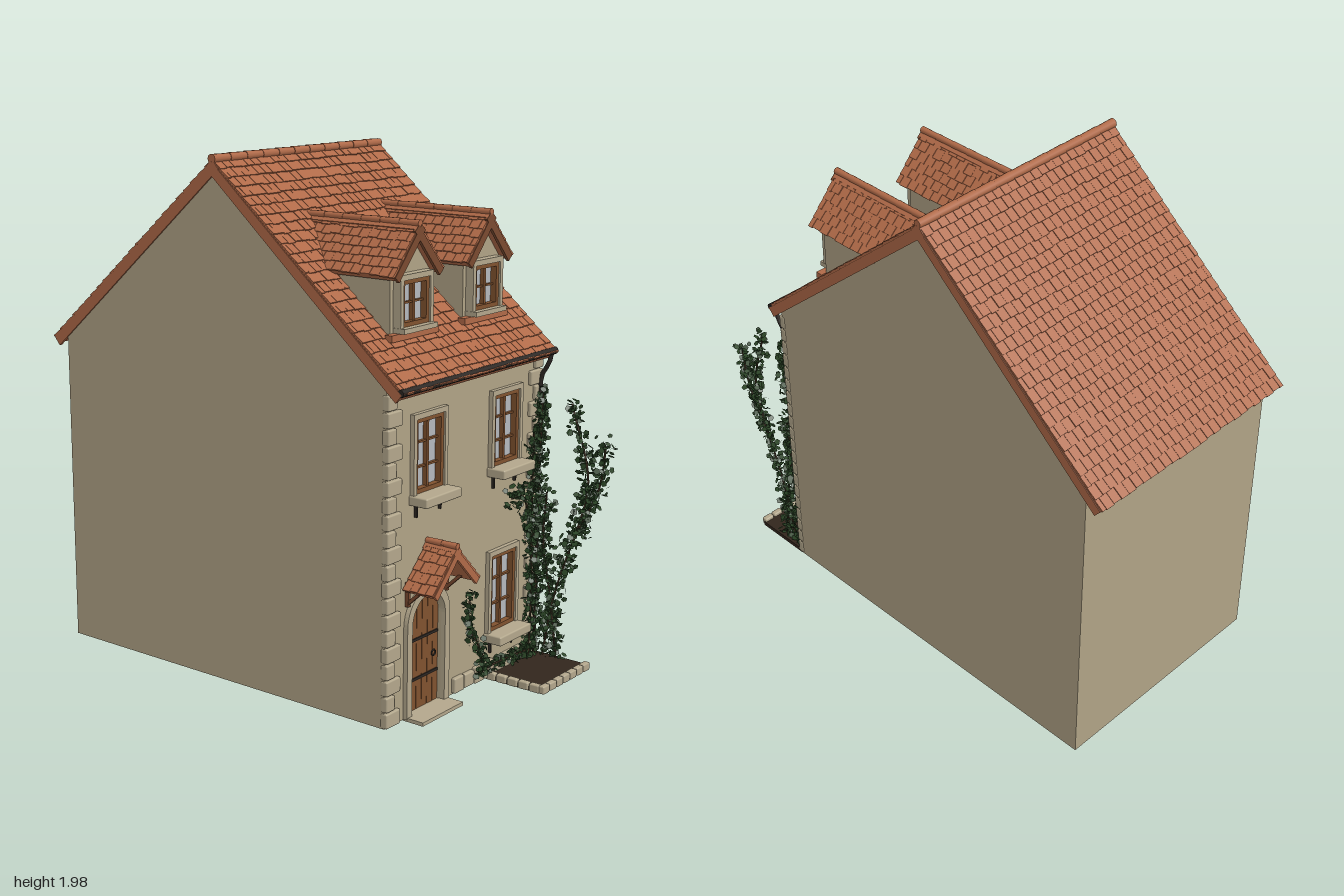
import * as THREE from 'three';
import { mergeGeometries } from 'three/addons/utils/BufferGeometryUtils.js';
import { RoundedBoxGeometry } from 'three/addons/geometries/RoundedBoxGeometry.js';

const mat = (color, side = THREE.FrontSide) => new THREE.MeshStandardMaterial({ color, side });
const M = {
  wall: mat(0xb0a386), stone: mat(0xb3a78c), roof: mat(0xb06a48), board: mat(0x7a4a30),
  wood: mat(0x80522f), iron: mat(0x2b2622), glass: mat(0xb4b8bd), soil: mat(0x32261c),
  inner: mat(0x806a55), leaf: mat(0x2b4526, THREE.DoubleSide), stem: mat(0x3d2f20)
};
let seed = 7;
const rnd = () => (seed = (seed * 16807) % 2147483647) / 2147483647;

function add(parent, name, geo, material, x = 0, y = 0, z = 0) {
  const m = new THREE.Mesh(geo, material);
  m.name = name;
  m.position.set(x, y, z);
  parent.add(m);
  return m;
}
const box = (p, name, m, w, h, d, x, y, z) => add(p, name, new THREE.BoxGeometry(w, h, d), m, x, y, z);
function group(parent, name, x = 0, y = 0, z = 0) {
  const g = new THREE.Group();
  g.name = name;
  g.position.set(x, y, z);
  parent.add(g);
  return g;
}
const extrude = (shape, depth) => new THREE.ExtrudeGeometry(shape, { depth, bevelEnabled: false, curveSegments: 14 });
const poly = pts => new THREE.Shape(pts.map(p => new THREE.Vector2(...p)));
const rect = (x0, y0, x1, y1) => poly([[x0, y0], [x1, y0], [x1, y1], [x0, y1]]);

// Round-headed outline standing on y0 with its spring line at ys
function arch(cx, r, y0, ys) {
  const s = new THREE.Shape();
  s.moveTo(cx - r, y0);
  s.lineTo(cx + r, y0);
  s.lineTo(cx + r, ys);
  s.absarc(cx, ys, r, 0, Math.PI, false);
  s.closePath();
  return s;
}

// Pitched roof: two tiled slopes, bargeboards and a row of ridge tiles along local x
function pitchedRoof(parent, name, o) {
  const g = group(parent, name, ...o.at);
  g.rotation.y = o.turn || 0;
  const L = Math.hypot(o.run, o.drop), angle = Math.atan2(o.drop, o.run), tiles = [];
  const tw = o.width / o.cols, rl = L / o.rows;
  for (let r = 0; r < o.rows; r++) {
    for (let c = 0; c <= o.cols; c++) {
      const start = -o.width / 2 + (c - (r % 2) / 2) * tw;
      const x0 = Math.max(start, -o.width / 2), x1 = Math.min(start + tw, o.width / 2);
      if (x1 - x0 < tw * 0.2) continue;
      const t = new THREE.BoxGeometry((x1 - x0) * 0.95, 0.007, rl * 1.2);
      t.rotateX(-0.09);
      t.translate((x0 + x1) / 2, -0.006 + rnd() * 0.002, (r + 0.5) * rl + (rnd() - 0.5) * 0.006);
      tiles.push(t);
    }
  }
  const tileGeo = mergeGeometries(tiles);
  for (const side of [0, Math.PI]) {
    const half = group(g, 'roofSide');
    half.rotation.y = side;
    const slope = group(half, 'slope');
    slope.rotation.x = angle;
    add(slope, 'tiles', tileGeo, M.roof);
    box(slope, 'roofSlab', M.roof, o.width, o.thick, L, 0, -0.007 - o.thick / 2, L / 2);
    for (const e of [-1, 1])
      box(slope, 'bargeboard', o.edge, 0.012, o.thick * 1.3, L, e * (o.width / 2 - 0.003), -0.01 - o.thick * 0.65, L / 2);
  }
  const n = Math.max(2, Math.round(o.width / 0.09)), len = o.width / n;
  for (let i = 0; i < n; i++) {
    const c = new THREE.CylinderGeometry(o.ridge, o.ridge * 0.88, len * 1.06, 10);
    c.rotateZ(Math.PI / 2);
    add(g, 'ridgeTile', c, M.roof, -o.width / 2 + (i + 0.5) * len, -0.003, 0);
  }
  return g;
}

// Casement window centred on its opening, with stone surround and optional sill
function makeWindow(parent, name, w, h, x, y, z, sill) {
  const g = group(parent, name, x, y, z);
  box(g, 'glass', M.glass, w, h, 0.006, 0, 0, -0.018);
  for (const s of [-1, 1]) {
    box(g, 'frameSide', M.wood, 0.016, h, 0.03, s * (w / 2 - 0.008), 0, -0.005);
    box(g, 'frameRail', M.wood, w, 0.016, 0.03, 0, s * (h / 2 - 0.008), -0.005);
    box(g, 'jamb', M.stone, 0.018, h, 0.035, s * (w / 2 + 0.009), 0, 0);
  }
  box(g, 'mullion', M.wood, 0.012, h, 0.02, 0, 0, -0.008);
  for (const s of sill ? [-1, 1] : [0]) box(g, 'glazingBar', M.wood, w, 0.007, 0.014, 0, s * h / 6, -0.01);
  box(g, 'lintel', M.stone, w + 0.036, 0.02, 0.035, 0, h / 2 + 0.01, 0);
  if (!sill) return box(g, 'ledge', M.stone, w + 0.04, 0.018, 0.05, 0, -h / 2 - 0.009, 0.01);
  add(g, 'sill', new RoundedBoxGeometry(w + 0.045, 0.036, 0.085, 2, 0.006), M.stone, 0, -h / 2 - 0.018, 0.035);
  for (const s of [-1, 1]) box(g, 'sillBracket', M.iron, 0.006, 0.05, 0.012, s * w * 0.43, -h / 2 - 0.06, 0.006);
}

// Climbing plant: curved stems with small leaves scattered round them
function ivy(parent, name, stems, density, spread) {
  const g = group(parent, name), leaves = [];
  for (const pts of stems) {
    const curve = new THREE.CatmullRomCurve3(pts.map(p => new THREE.Vector3(...p)));
    add(g, 'stem', new THREE.TubeGeometry(curve, 16, 0.004, 5), M.stem);
    const n = Math.round(curve.getLength() * density);
    for (let i = 0; i < n; i++) {
      const p = curve.getPoint(rnd());
      const leaf = new THREE.CircleGeometry(0.009 + rnd() * 0.006, 5);
      leaf.rotateX((rnd() - 0.5) * 2.4);
      leaf.rotateY(rnd() * Math.PI);
      const a = rnd() * 6.283, d = Math.sqrt(rnd());
      leaf.translate(p.x + Math.cos(a) * d * spread[0], Math.max(0.015, p.y + Math.sin(a) * d * spread[1]),
        p.z + (rnd() * 2 - 1) * d * spread[2]);
      leaves.push(leaf);
    }
  }
  add(g, 'leaves', mergeGeometries(leaves), M.leaf);
}

export function createModel() {
  const house = new THREE.Group();
  house.name = 'house';
  const X = 0.485, F = 0.64, B = -0.92, T = 0.05, top = 1.24, doorX = -0.243;
  const windows = [[-0.243, 0.967, 0.27], [0.243, 0.967, 0.27], [0.243, 0.335, 0.3]], winW = 0.168;

  // Walls: front with openings, plain back and sides, solid gable block
  const front = rect(-X, 0.005, X, top);
  front.holes.push(arch(doorX, 0.1, 0.012, 0.35));
  for (const [x, y, h] of windows) front.holes.push(rect(x - winW / 2, y - h / 2, x + winW / 2, y + h / 2));
  add(house, 'frontWall', extrude(front, T), M.wall, 0, 0, F - T);
  box(house, 'backWall', M.wall, 2 * X, top - 0.005, T, 0, (top + 0.005) / 2, B + T / 2);
  for (const s of [-1, 1])
    box(house, 'sideWall', M.wall, T, top - 0.005, F - B - 2 * T, s * (X - T / 2), (top + 0.005) / 2, (F + B) / 2);
  const gable = extrude(poly([[-F, top], [-B, top], [0.14, 1.925]]), 2 * X);
  gable.rotateY(Math.PI / 2);
  add(house, 'gables', gable, M.wall, -X, 0, 0);
  box(house, 'partition', M.inner, 2 * X - 2 * T, top, 0.02, 0, top / 2 + 0.005, 0.12);
  box(house, 'floor', M.soil, 2 * X - 2 * T, 0.012, 0.48, 0, 0.014, 0.36);

  // Main roof, gutter and downpipe
  pitchedRoof(house, 'mainRoof', { at: [0, 1.968, -0.14], width: 0.976, run: 0.855, drop: 0.738,
    rows: 24, cols: 26, thick: 0.03, ridge: 0.018, edge: M.roof });
  const gutter = new THREE.CylinderGeometry(0.014, 0.014, 0.98, 10);
  gutter.rotateZ(Math.PI / 2);
  add(house, 'gutter', gutter, M.iron, 0, 1.228, 0.702);
  const pipe = new THREE.CatmullRomCurve3([[0.7, 1.22], [0.69, 1.18], [0.66, 1.13], [0.655, 1.05], [0.655, 0.5], [0.655, 0.02]]
    .map(([z, y]) => new THREE.Vector3(0.468, y, z)));
  add(house, 'downpipe', new THREE.TubeGeometry(pipe, 40, 0.009, 8), M.iron);

  // Corner stones and base course
  for (const s of [-1, 1]) for (let i = 0; i < 20; i++) {
    const w = i % 2 ? 0.05 : 0.082, h = 0.056;
    add(house, 'cornerStone', new RoundedBoxGeometry(w, h, 0.03, 1, 0.006), M.stone, s * (X + 0.003 - w / 2), 0.036 + i * 0.0605, F);
  }
  for (let x = -0.07; x < 0.4; x += 0.067)
    add(house, 'baseStone', new RoundedBoxGeometry(0.062, 0.05 + rnd() * 0.016, 0.03, 1, 0.006), M.stone, x + 0.03, 0.04, F + 0.002);

  for (const [x, y, h] of windows) makeWindow(house, 'window', winW, h, x, y, F, true);

  // Door: planks cut to the arch, straps, surround, keystone and step
  const door = group(house, 'door', doorX, 0, F);
  for (let i = 0; i < 6; i++) {
    const x = -0.0825 + i * 0.033, h = 0.335 + Math.sqrt(0.01 - x * x);
    box(door, 'plank', M.wood, 0.031, h, 0.016, x, 0.012 + h / 2, -0.022);
  }
  add(door, 'doorBack', extrude(arch(0, 0.1, 0.012, 0.35), 0.008), M.board, 0, 0, -0.036);
  for (const y of [0.13, 0.28]) box(door, 'strap', M.iron, 0.185, 0.01, 0.006, 0, y, -0.012);
  add(door, 'ringHandle', new THREE.TorusGeometry(0.011, 0.003, 6, 12), M.iron, 0.068, 0.2, -0.01);
  const surround = arch(0, 0.13, 0.008, 0.35);
  surround.holes.push(arch(0, 0.1, 0.012, 0.35));
  add(door, 'doorSurround', extrude(surround, 0.03), M.stone, 0, 0, -0.012);
  box(door, 'keystone', M.stone, 0.032, 0.045, 0.04, 0, 0.472, 0.008);
  box(door, 'doorStep', M.stone, 0.25, 0.014, 0.09, 0, 0.007, 0.04);

  // Canopy over the door
  pitchedRoof(house, 'canopy', { at: [doorX, 0.65, 0.71], turn: Math.PI / 2, width: 0.13, run: 0.145, drop: 0.145,
    rows: 5, cols: 4, thick: 0.02, ridge: 0.013, edge: M.roof });
  add(house, 'canopyGable', extrude(poly([[-0.11, 0.51], [0.11, 0.51], [0, 0.62]]), 0.02), M.wood, doorX, 0, F);
  for (const s of [-1, 1]) {
    box(house, 'canopyPost', M.board, 0.014, 0.09, 0.014, doorX + s * 0.118, 0.475, F + 0.008);
    box(house, 'canopyBeam', M.board, 0.014, 0.014, 0.12, doorX + s * 0.118, 0.513, F + 0.06);
    box(house, 'canopyBrace', M.board, 0.012, 0.012, 0.11, doorX + s * 0.118, 0.475, F + 0.045).rotation.x = -0.75;
  }

  // Dormers
  for (const s of [-1, 1]) {
    const d = group(house, 'dormer', s * 0.22, 0, 0);
    add(d, 'dormerWalls', extrude(poly([[-0.115, 1.37], [0.115, 1.37], [0.115, 1.6], [0, 1.735], [-0.115, 1.6]]), 0.46), M.wall, 0, 0, 0.08);
    makeWindow(d, 'dormerWindow', 0.158, 0.165, 0, 1.492, 0.556, false);
    box(d, 'apron', M.roof, 0.28, 0.025, 0.03, 0, 1.378, 0.553);
    pitchedRoof(d, 'dormerRoof', { at: [0, 1.768, 0.33], turn: Math.PI / 2, width: 0.5, run: 0.15, drop: 0.168,
      rows: 6, cols: 12, thick: 0.024, ridge: 0.014, edge: M.board });
  }

  // Flower bed with stone edging
  box(house, 'soil', M.soil, 0.33, 0.018, 0.25, 0.318, 0.009, 0.765);
  for (let i = 0; i < 7; i++)
    add(house, 'edgingStone', new RoundedBoxGeometry(0.044, 0.032, 0.026, 1, 0.006), M.stone, 0.17 + i * 0.048, 0.016, 0.892);
  for (let i = 0; i < 5; i++)
    add(house, 'edgingStone', new RoundedBoxGeometry(0.026, 0.032, 0.044, 1, 0.006), M.stone, 0.158, 0.016, 0.665 + i * 0.049);

  // Climbing plants: on the front wall, beside the door, and out along the bed
  const onWall = pts => pts.map(([x, y]) => [x, y, 0.668]);
  const outward = pts => pts.map(([z, y]) => [0.462, y, z]);
  ivy(house, 'wallIvy', [[[0.41, 0.02], [0.42, 0.3], [0.41, 0.6], [0.41, 0.92]], [[0.45, 0.02], [0.45, 0.4], [0.455, 0.8], [0.468, 1.06]],
    [[0.43, 0.5], [0.34, 0.68], [0.26, 0.69]]].map(onWall), 430, [0.045, 0.05, 0.02]);
  ivy(house, 'lowIvy', [[[0.4, 0.05], [0.22, 0.06], [0.06, 0.06]], [[0.09, 0.06], [0.06, 0.17], [-0.005, 0.25], [0, 0.38]]].map(onWall),
    330, [0.035, 0.03, 0.016]);
  ivy(house, 'bedIvy', [[[0.7, 0.02], [0.74, 0.25], [0.82, 0.5], [0.93, 0.74], [0.95, 0.9]], [[0.83, 0.52], [0.88, 0.75], [0.8, 1.04]],
    [[0.76, 0.02], [0.73, 0.25], [0.69, 0.48], [0.7, 0.68]]].map(outward), 400, [0.015, 0.05, 0.05]);
  return house;
}
